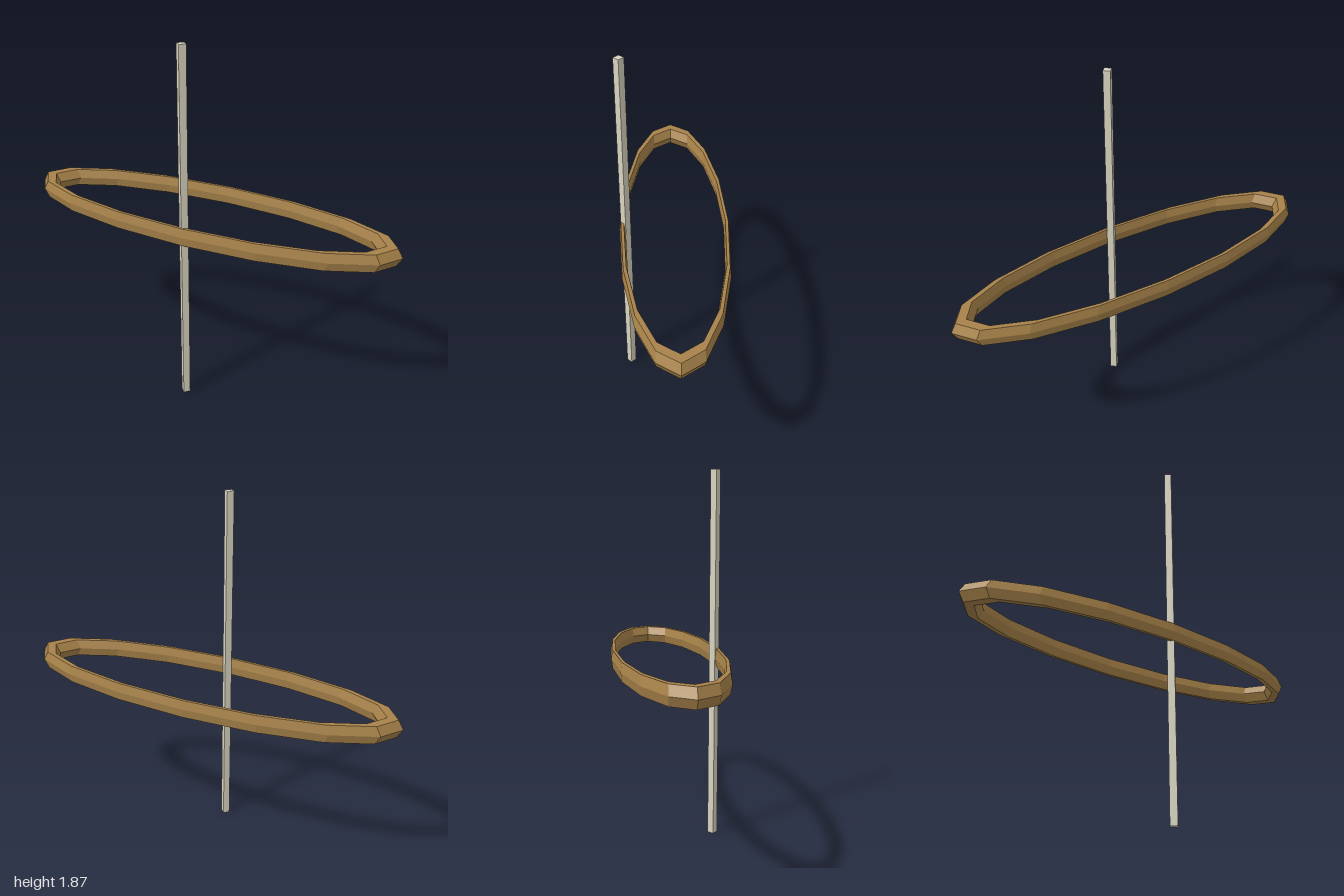
import * as THREE from 'three';

export function createModel() {
  const group = new THREE.Group();
  const material = (color) => new THREE.MeshStandardMaterial({ color, flatShading: true });
  const midHeight = 0.933;

  // Faceted hoop: hexagonal section, squashed to a long ellipse lying flat
  const hoopGeometry = new THREE.TorusGeometry(0.947, 0.053, 6, 16);
  hoopGeometry.scale(1, 0.277, 1);
  hoopGeometry.rotateX(Math.PI / 2);
  const hoop = new THREE.Mesh(hoopGeometry, material(0xa8834a));
  hoop.name = 'hoop';
  hoop.position.y = midHeight;
  group.add(hoop);

  // Upright four-sided rod through the front of the hoop, corners facing the axes
  const rod = new THREE.Mesh(
    new THREE.CylinderGeometry(0.025, 0.025, midHeight * 2, 4),
    material(0xd8d4c0)
  );
  rod.name = 'rod';
  rod.position.set(0, midHeight, 0.245);
  group.add(rod);

  return group;
}
